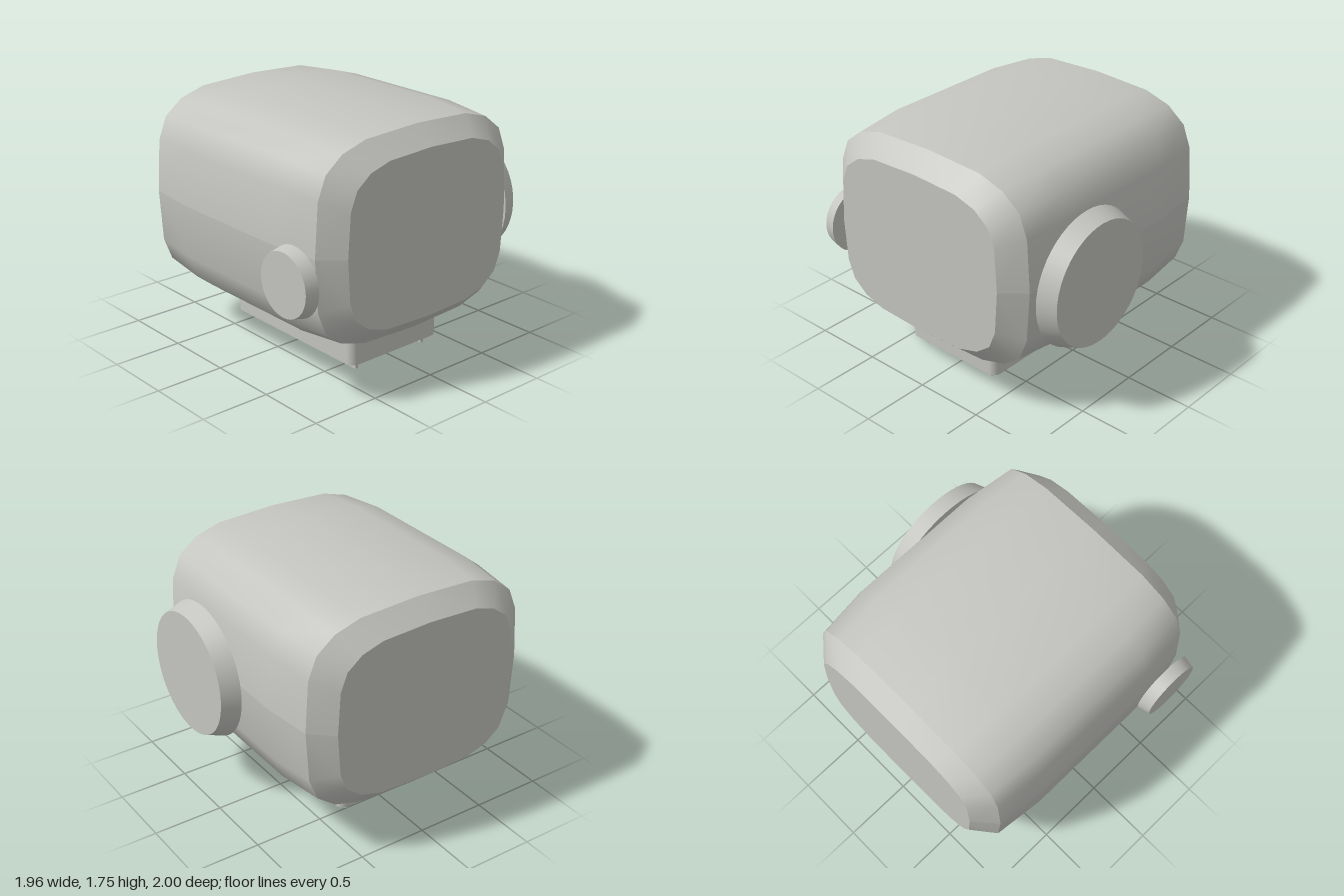
import * as THREE from 'three';
import { toCreasedNormals } from 'three/addons/utils/BufferGeometryUtils.js';

const grey = new THREE.MeshStandardMaterial({ color: 0xc4c4c0 });
grey.name = 'lightGrey';

// quarter outline of the housing as [z, y] offsets from its centre line
const QUARTER = [[0.89, 0], [0.865, 0.385], [0.8, 0.55], [0.66, 0.66], [0.46, 0.72], [0, 0.74]];
// stations along x as [x, outline scale]; scale 0 closes the flat ends
const STATIONS = [[-0.98, 0], [-0.98, 0.787], [-0.845, 0.957], [-0.48, 1],
  [0.48, 1], [0.845, 0.957], [0.98, 0.787], [0.98, 0]];
const CENTRE_Y = 1.013, CENTRE_Z = 0.02;

// one half of the housing, lofted along x; side is 1 for upper, -1 for lower
function halfShell(side) {
  const arc = [...QUARTER, ...QUARTER.slice(0, -1).reverse().map(([z, y]) => [-z, y])];
  const n = arc.length;
  const positions = [], index = [];
  for (const [x, s] of STATIONS)
    for (const [z, y] of arc) positions.push(x, side * y * s, z * s);
  const tri = (a, b, c) => (side > 0 ? index.push(a, b, c) : index.push(a, c, b));
  for (let i = 0; i < STATIONS.length - 1; i++) {
    for (let j = 0; j < n - 1; j++) {
      const a = i * n + j, b = a + n;
      if (STATIONS[i + 1][1] > 0) tri(a, b, b + 1);
      else tri(a, b, a + 1);
      if (STATIONS[i][1] > 0 && STATIONS[i + 1][1] > 0) tri(a, b + 1, a + 1);
    }
  }
  const geo = new THREE.BufferGeometry();
  geo.setAttribute('position', new THREE.Float32BufferAttribute(positions, 3));
  geo.setIndex(index);
  return toCreasedNormals(geo, 0.6);
}

// rounded rectangle in plan, extruded upwards from y = 0
function roundedSlab(w, d, h, r) {
  const s = new THREE.Shape();
  const x = w / 2, y = d / 2;
  s.moveTo(-x + r, -y);
  s.lineTo(x - r, -y);
  s.absarc(x - r, -y + r, r, -Math.PI / 2, 0);
  s.absarc(x - r, y - r, r, 0, Math.PI / 2);
  s.absarc(-x + r, y - r, r, Math.PI / 2, Math.PI);
  s.absarc(-x + r, -y + r, r, Math.PI, Math.PI * 1.5);
  const geo = new THREE.ExtrudeGeometry(s, { depth: h, bevelEnabled: false, curveSegments: 6 });
  return toCreasedNormals(geo.rotateX(-Math.PI / 2), 0.6);
}

export function createModel() {
  const group = new THREE.Group();
  const add = (name, geo, x, y, z) => {
    const mesh = new THREE.Mesh(geo, grey);
    mesh.name = name;
    mesh.position.set(x, y, z);
    group.add(mesh);
    return mesh;
  };

  // housing in two halves meeting at the seam
  add('upperHousing', halfShell(1), 0, CENTRE_Y, CENTRE_Z);
  add('lowerHousing', halfShell(-1), 0, CENTRE_Y, CENTRE_Z);

  // tapered discs on the front and back
  const frontDisc = new THREE.CylinderGeometry(0.22, 0.24, 0.09, 40).rotateX(Math.PI / 2);
  add('frontDisc', frontDisc, 0.69, 0.833, 0.955);
  const backDisc = new THREE.CylinderGeometry(0.44, 0.487, 0.13, 48).rotateX(-Math.PI / 2);
  add('backDisc', backDisc, 0.345, 0.92, -0.935);

  // mounting foot with two rails and a hexagonal peg
  add('foot', roundedSlab(1.26, 0.8, 0.28, 0.06), 0.055, 0.075, 0.02);
  for (const [name, z] of [['frontRail', 0.328], ['backRail', -0.285]])
    add(name, new THREE.BoxGeometry(1.15, 0.065, 0.025), 0.055, 0.0475, z);
  const peg = toCreasedNormals(new THREE.CylinderGeometry(0.061, 0.061, 0.08, 6), 0.6);
  add('peg', peg, -0.35, 0.04, 0.022);

  return group;
}
